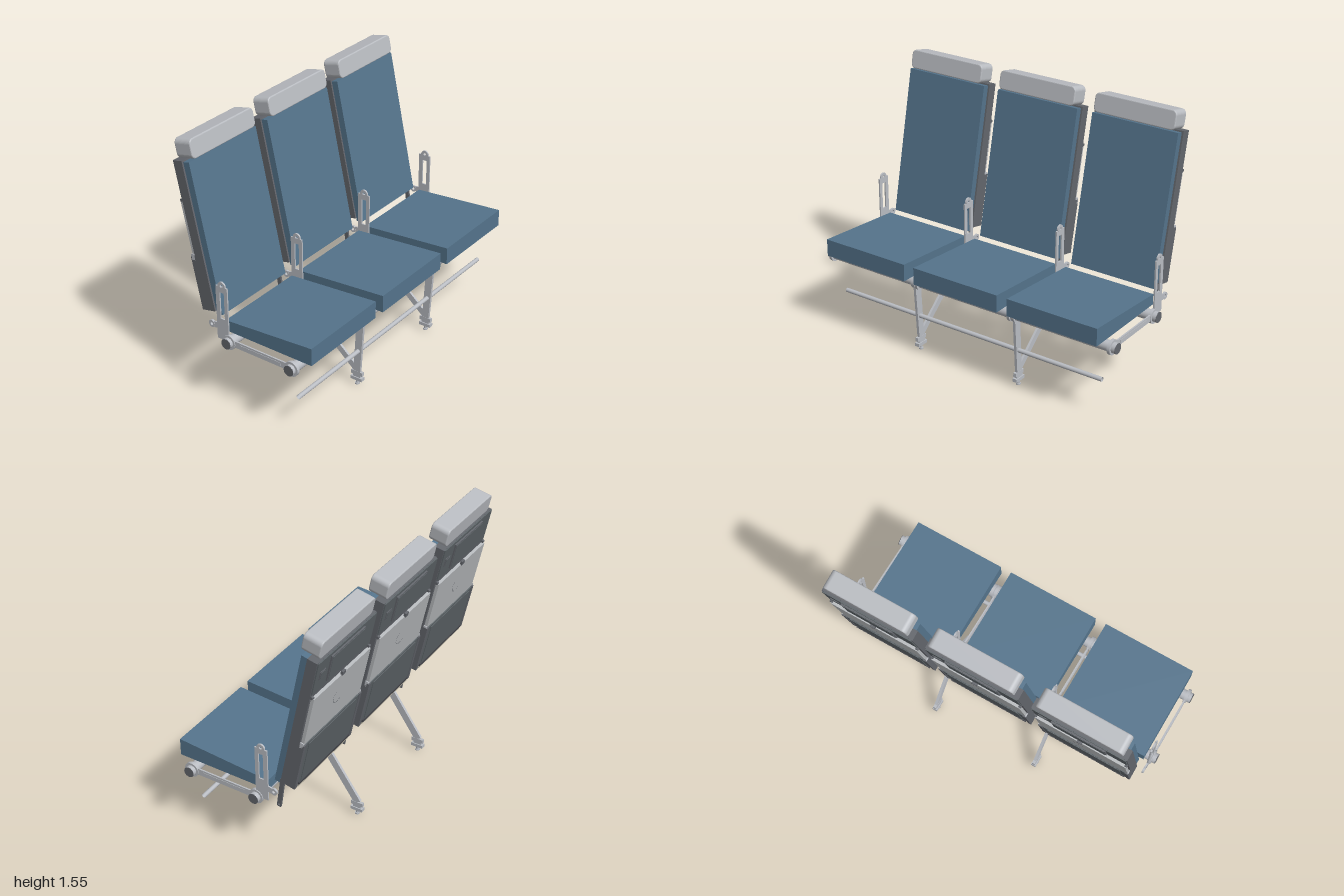
import * as THREE from 'three';

const mat = (name, color, side = THREE.FrontSide) => {
  const m = new THREE.MeshStandardMaterial({ color, side });
  m.name = name;
  return m;
};

export function createModel() {
  const blue = mat('blue upholstery', 0x55748c);
  const light = mat('light grey trim', 0xb9bcc1);
  const metal = mat('frame metal', 0xbabdc3, THREE.DoubleSide);
  const tableGrey = mat('table grey', 0xb8bbbe);
  const shellGrey = mat('shell grey', 0x63666c);
  const dark = mat('dark panel', 0x5f666a);
  const black = mat('black underside', 0x46474d);
  const beige = mat('beige strip', 0xcdc7b4);

  const root = new THREE.Group();
  root.name = 'seatRow';

  const add = (parent, name, geo, material, x = 0, y = 0, z = 0) => {
    const m = new THREE.Mesh(geo, material);
    m.name = name;
    m.position.set(x, y, z);
    parent.add(m);
    return m;
  };
  const box = (parent, name, material, w, h, d, x, y, z) =>
    add(parent, name, new THREE.BoxGeometry(w, h, d), material, x, y, z);
  // cylinder lying along x
  const rod = (parent, name, material, r, len, x, y, z, open = false) =>
    add(parent, name, new THREE.CylinderGeometry(r, r, len, 28, 1, open).rotateZ(Math.PI / 2), material, x, y, z);
  // side profile in (z, y), extruded along x
  const profile = (parent, name, material, shape, w, x) => {
    const g = new THREE.ExtrudeGeometry(shape, { depth: w, bevelEnabled: false, curveSegments: 16 });
    g.translate(0, 0, -w / 2).rotateY(-Math.PI / 2);
    return add(parent, name, g, material, x);
  };
  const poly = pts => new THREE.Shape(pts.map(p => new THREE.Vector2(p[0], p[1])));
  const hole = (shape, z, y, r) => {
    shape.holes.push(new THREE.Path().absarc(z, y, r, 0, Math.PI * 2, true));
    return shape;
  };
  // flat bar between two (z, y) points, w wide
  const strip = (a, b, w) => {
    const d = new THREE.Vector2(b[0] - a[0], b[1] - a[1]).normalize().multiplyScalar(w / 2);
    return poly([[a[0] - d.y, a[1] + d.x], [a[0] + d.y, a[1] - d.x], [b[0] + d.y, b[1] - d.x], [b[0] - d.y, b[1] + d.x]]);
  };
  // headrest: rounded front outline with slightly eased front and rear edges
  const headrestGeometry = (w, h, d, r, bevel) => {
    const x = w / 2 - bevel, y = h / 2 - bevel;
    const s = new THREE.Shape();
    s.absarc(x - r, y - r, r, 0, Math.PI / 2);
    s.absarc(-x + r, y - r, r, Math.PI / 2, Math.PI);
    s.absarc(-x + r, -y + r, r, Math.PI, Math.PI * 1.5);
    s.absarc(x - r, -y + r, r, Math.PI * 1.5, Math.PI * 2);
    return new THREE.ExtrudeGeometry(s, {
      depth: d - 2 * bevel, bevelThickness: bevel, bevelSize: bevel, bevelSegments: 3, curveSegments: 8,
    }).translate(0, 0, bevel - d / 2);
  };

  const tubeY = 0.453, tubeZ = [0.355, -0.07];

  // Cross tubes with dark end caps
  for (const z of tubeZ) {
    rod(root, 'crossTube', metal, 0.031, 1.996, 0, tubeY, z);
    for (const s of [-1, 1]) rod(root, 'tubeEndCap', shellGrey, 0.031, 0.004, s * 0.998, tubeY, z);
  }
  // Hollow bar near the floor
  rod(root, 'baggageBar', metal, 0.013, 1.8, 0, 0.225, 0.34, true);

  // Armrest stanchions and links between the tubes
  for (const x of [-0.969, -0.324, 0.32, 0.965]) {
    const arm = new THREE.Group();
    arm.name = 'armrestFrame';
    root.add(arm);
    const plate = poly([[-0.07, 0.785], [-0.07, 0.455], [-0.148, 0.455], [-0.148, 0.785]]);
    plate.holes.push(new THREE.Path([[-0.092, 0.585], [-0.122, 0.585], [-0.122, 0.75], [-0.092, 0.75]]
      .map(p => new THREE.Vector2(...p))));
    profile(arm, 'armrestPlate', metal, plate, 0.009, x);
    const lug = new THREE.Shape().absarc(-0.108, 0.79, 0.025, 0, Math.PI * 2);
    profile(arm, 'armrestLug', metal, hole(lug, -0.108, 0.79, 0.009), 0.01, x);
    const link = poly([[0.355, 0.474], [0.355, 0.435], [-0.07, 0.435], [-0.07, 0.474]]);
    profile(arm, 'sideLink', metal, link, 0.009, x);
    box(arm, 'linkRib', metal, 0.013, 0.022, 0.275, x, 0.452, 0.143);
    for (const z of tubeZ) rod(arm, 'tubeClamp', metal, 0.044, 0.018, x, tubeY, z);
    // Recline pivot
    profile(arm, 'pivotBracket', metal, strip([-0.145, 0.535], [-0.17, 0.53], 0.035), 0.009, x);
    const pivot = new THREE.Shape().absarc(-0.185, 0.53, 0.021, 0, Math.PI * 2);
    profile(arm, 'pivotLug', metal, hole(pivot, -0.185, 0.53, 0.009), 0.012, x);
  }

  // Leg frames
  for (const x of [-0.35, 0.346]) {
    const leg = new THREE.Group();
    leg.name = 'legFrame';
    root.add(leg);
    const front = poly([[0.378, 0.45], [0.33, 0.45], [0.308, 0.08], [0.352, 0.08]]);
    profile(leg, 'frontLeg', metal, hole(front, 0.34, 0.225, 0.013), 0.016, x);
    profile(leg, 'rearLeg', metal, strip([-0.075, 0.445], [-0.328, 0.085], 0.046), 0.016, x);
    profile(leg, 'diagonalBrace', metal, strip([0.318, 0.105], [-0.065, 0.435], 0.038), 0.014, x);
    for (const z of tubeZ) rod(leg, 'legClamp', metal, 0.042, 0.022, x, tubeY, z);
    for (const z of [0.33, -0.325]) {
      box(leg, 'footUpper', metal, 0.018, 0.024, 0.076, x, 0.074, z);
      box(leg, 'footNeck', metal, 0.018, 0.014, 0.05, x, 0.055, z);
      box(leg, 'footLower', metal, 0.03, 0.02, 0.076, x, 0.039, z);
      add(leg, 'footStud', new THREE.CylinderGeometry(0.008, 0.008, 0.03, 12), metal, x, 0.015, z);
      add(leg, 'footPad', new THREE.CylinderGeometry(0.014, 0.014, 0.008, 12), metal, x, 0.004, z);
    }
  }

  // Three seats
  for (const cx of [-0.646, -0.002, 0.642]) {
    const seat = new THREE.Group();
    seat.name = 'seat';
    seat.position.x = cx;
    root.add(seat);
    profile(seat, 'seatCushion', blue, poly([[0.457, 0.595], [0.457, 0.49], [-0.122, 0.49], [-0.122, 0.554]]), 0.576, 0);
    box(seat, 'seatPan', black, 0.566, 0.004, 0.57, 0, 0.489, 0.167);

    // Reclined back: local y runs up the back, local -z points rearward
    const back = new THREE.Group();
    back.name = 'backrest';
    back.position.set(0, 0.565, -0.155);
    back.rotation.x = -0.21;
    seat.add(back);
    box(back, 'backCushion', blue, 0.545, 0.882, 0.042, 0, 0.441, -0.021);
    box(back, 'backShell', shellGrey, 0.566, 0.87, 0.06, 0, 0.456, -0.07);
    box(back, 'upperPanel', dark, 0.556, 0.208, 0.008, 0, 0.786, -0.103);
    box(back, 'lowerPanel', dark, 0.54, 0.315, 0.03, 0, 0.18, -0.112);
    for (const s of [-1, 1]) {
      box(back, 'sideRail', shellGrey, 0.022, 0.32, 0.034, s * 0.272, 0.181, -0.113);
      rod(back, 'tableHinge', shellGrey, 0.009, 0.016, s * 0.274, 0.665, -0.108);
      box(back, 'tableArm', metal, 0.006, 0.035, 0.022, s * 0.28, 0.335, -0.114);
    }
    add(back, 'headrest', headrestGeometry(0.515, 0.112, 0.112, 0.022, 0.007), light, 0, 0.947, -0.036);

    // Screen, switch and latch
    box(back, 'screenFrame', shellGrey, 0.32, 0.165, 0.01, 0, 0.79, -0.111);
    box(back, 'screen', dark, 0.306, 0.151, 0.003, 0, 0.79, -0.117);
    box(back, 'switchFrame', shellGrey, 0.052, 0.052, 0.004, 0.218, 0.79, -0.109);
    box(back, 'switchButton', dark, 0.038, 0.038, 0.004, 0.218, 0.79, -0.111);
    box(back, 'tableLatch', shellGrey, 0.03, 0.024, 0.014, 0, 0.668, -0.121);

    // Folded table with a curved cup mark
    box(back, 'foldedTable', tableGrey, 0.55, 0.318, 0.018, 0, 0.5, -0.113);
    add(back, 'cupMark', new THREE.RingGeometry(0.046, 0.049, 28, 1, Math.PI * 0.7, Math.PI * 1.05).rotateY(Math.PI),
      shellGrey, 0, 0.51, -0.1232);

    // Pocket and lower edge
    box(back, 'pocket', dark, 0.46, 0.29, 0.004, 0, 0.18, -0.129);
    box(back, 'pocketLip', black, 0.5, 0.016, 0.008, 0, 0.042, -0.13);
    box(back, 'lowerStrip', beige, 0.5, 0.014, 0.04, 0, 0.026, -0.112);
    box(back, 'lowerTray', black, 0.52, 0.004, 0.04, 0, 0.02, -0.068);

    // Recline lever hanging below the back
    const lever = strip([-0.205, 0.585], [-0.177, 0.392], 0.026);
    profile(seat, 'reclineLever', shellGrey, hole(lever, -0.179, 0.405, 0.007), 0.012, 0.268);
  }
  return root;
}
